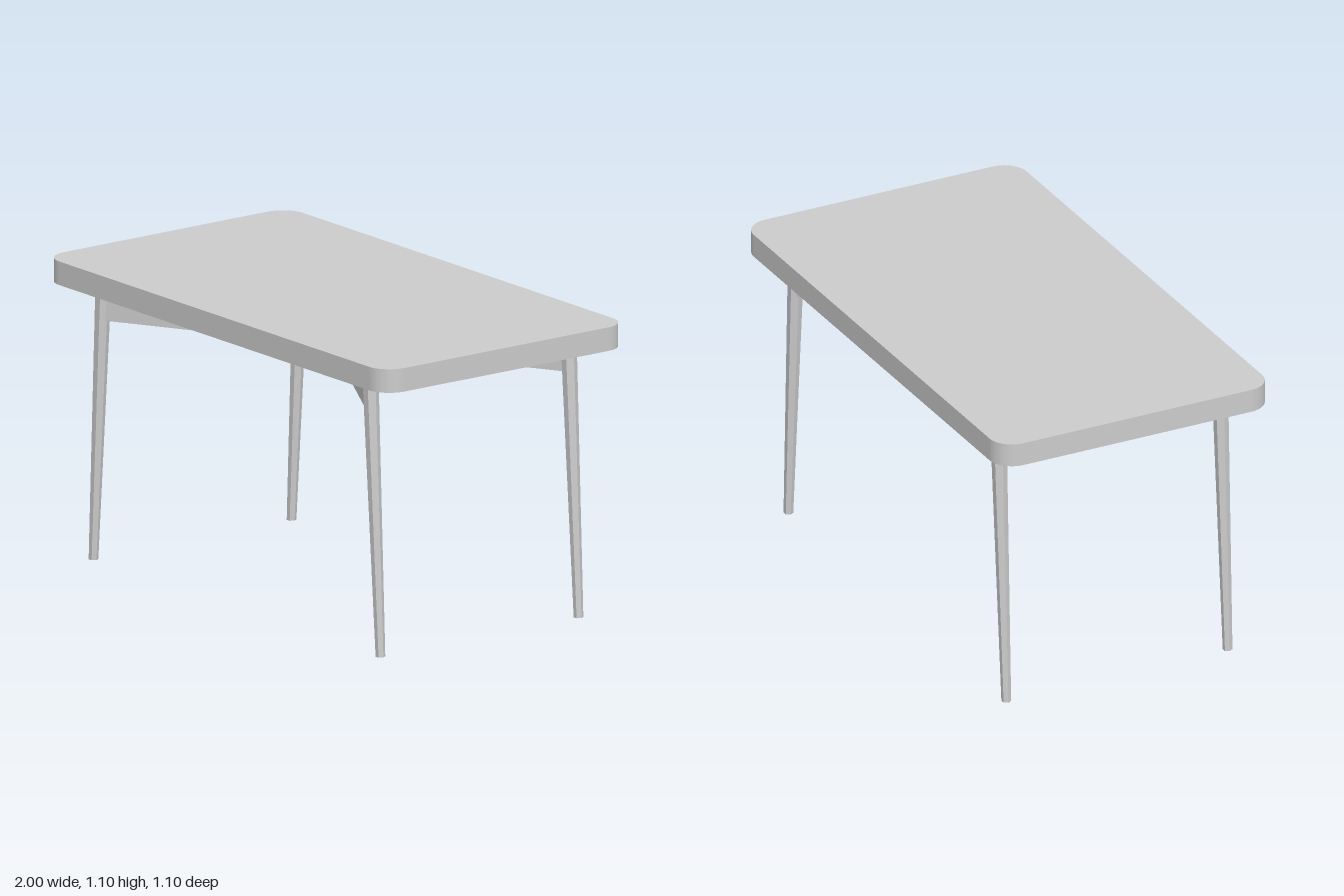
import * as THREE from 'three';

const TOP_Y = 1.102, UNDER_Y = 1.015, RAIL_Y = 0.898;
const LEG_Z = 0.445, LEG_TOP_X = 0.784, LEG_FOOT_X = 0.842;

// Rounded rectangle outline centred on the origin
function roundedRect(w, d, r) {
  const x = w / 2, y = d / 2, s = new THREE.Shape();
  s.absarc(x - r, y - r, r, 0, Math.PI / 2);
  s.absarc(-x + r, y - r, r, Math.PI / 2, Math.PI);
  s.absarc(-x + r, -y + r, r, Math.PI, Math.PI * 1.5);
  s.absarc(x - r, -y + r, r, Math.PI * 1.5, Math.PI * 2);
  s.closePath();
  return s;
}

export function createModel() {
  const table = new THREE.Group();
  table.name = 'table';
  const material = new THREE.MeshStandardMaterial({ color: 0xcccccc, flatShading: true });
  const add = (geometry, name) => {
    const mesh = new THREE.Mesh(geometry, material);
    mesh.name = name;
    table.add(mesh);
    return mesh;
  };

  // Thick top with rounded corners
  const top = new THREE.ExtrudeGeometry(roundedRect(2, 1.096, 0.09), {
    depth: TOP_Y - UNDER_Y, bevelEnabled: false, curveSegments: 6,
  });
  top.rotateX(-Math.PI / 2).translate(0, UNDER_Y, 0);
  add(top, 'tableTop');

  // Tapered six-sided legs, sheared outward so both ends stay level
  for (const [sx, side] of [[1, 'Left'], [-1, 'Right']]) {
    for (const [sz, end] of [[1, 'front'], [-1, 'back']]) {
      const leg = new THREE.CylinderGeometry(0.029, 0.0175, UNDER_Y, 6, 1, false, Math.PI / 2);
      leg.translate(0, UNDER_Y / 2, 0);
      const p = leg.attributes.position;
      for (let i = 0; i < p.count; i++) {
        const t = p.getY(i) / UNDER_Y;
        p.setX(i, p.getX(i) + sx * THREE.MathUtils.lerp(LEG_FOOT_X, LEG_TOP_X, t));
        p.setZ(i, p.getZ(i) + sz * LEG_Z);
      }
      leg.computeVertexNormals();
      add(leg, `${end}${side}Leg`);
    }
  }

  // Two diagonal rails crossing under the top, from leg to leg
  const length = 2 * Math.hypot(LEG_TOP_X, LEG_Z);
  for (const s of [1, -1]) {
    const rail = add(new THREE.BoxGeometry(length, UNDER_Y - RAIL_Y, 0.03), s > 0 ? 'crossRailA' : 'crossRailB');
    rail.position.y = (UNDER_Y + RAIL_Y) / 2;
    rail.rotation.y = s * Math.atan2(LEG_Z, LEG_TOP_X);
  }
  return table;
}
